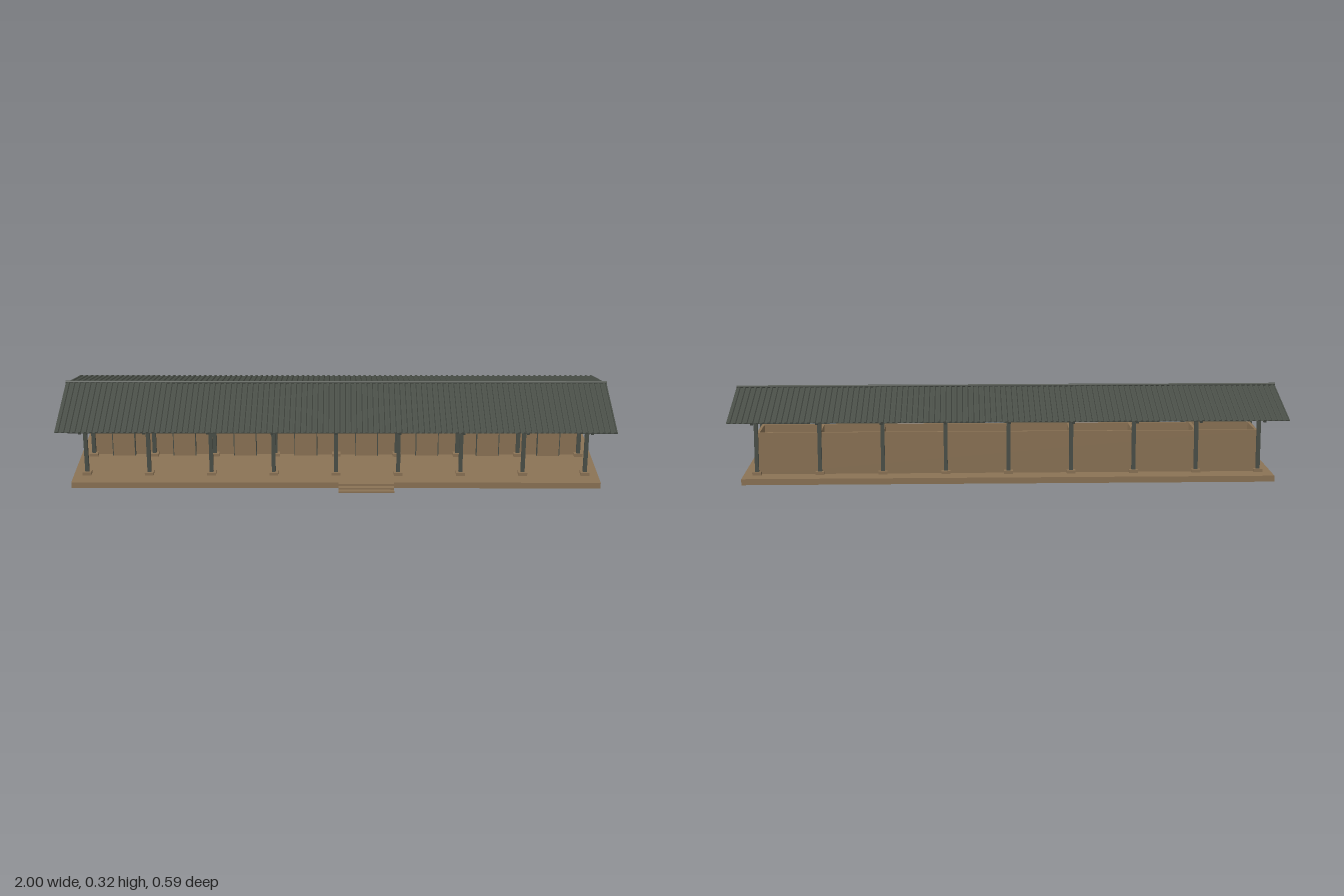
import * as THREE from 'three';

const clay = new THREE.MeshStandardMaterial({ color: 0x8b7355 });
clay.name = 'clay';
const steel = new THREE.MeshStandardMaterial({ color: 0x4a4f48 });
steel.name = 'dark steel';

const FLOOR = 0.022, SLOPE = 0.267, SLOPE_LENGTH = 0.304, RIDGE = 0.312;
const frameXs = Array.from({ length: 9 }, (_, i) => -0.91 + i * 0.2275);

// Box given by its lower and upper corner
function block(parent, name, mat, x0, x1, y0, y1, z0, z1) {
  const mesh = new THREE.Mesh(new THREE.BoxGeometry(x1 - x0, y1 - y0, z1 - z0), mat);
  mesh.position.set((x0 + x1) / 2, (y0 + y1) / 2, (z0 + z1) / 2);
  mesh.name = name;
  parent.add(mesh);
  return mesh;
}

function namedGroup(parent, name) {
  const g = new THREE.Group();
  g.name = name;
  parent.add(g);
  return g;
}

// Ribbed sheet cross-section, extruded down the slope
function ribbedSheet() {
  const pitch = 0.02, low = -0.0035, high = 0;
  const shape = new THREE.Shape();
  shape.moveTo(-1, -0.005);
  shape.lineTo(1, -0.005);
  shape.lineTo(1, low);
  for (let i = 99; i >= 0; i--) {
    const x = -1 + i * pitch;
    shape.lineTo(x + 0.016, low);
    shape.lineTo(x + 0.013, high);
    shape.lineTo(x + 0.007, high);
    shape.lineTo(x + 0.004, low);
  }
  shape.lineTo(-1, low);
  return new THREE.ExtrudeGeometry(shape, { depth: SLOPE_LENGTH, bevelEnabled: false });
}

export function createModel() {
  const model = new THREE.Group();
  model.name = 'longBuilding';

  // Platform and front steps
  block(model, 'platform', clay, -0.958, 0.958, 0, FLOOR, -0.253, 0.253);
  const steps = namedGroup(model, 'steps');
  [[0.267, FLOOR], [0.283, 0.0147], [0.297, 0.0073]].forEach(([z, y]) =>
    block(steps, 'step', clay, 0.01, 0.21, 0, y, 0.253, z));

  // Frames: footings, posts, ties and rafters
  const frames = namedGroup(model, 'frames');
  for (const x of frameXs) {
    for (const z of [0.176, 0, -0.177]) {
      block(frames, 'footing', clay, x - 0.016, x + 0.016, FLOOR, 0.033, z - 0.016, z + 0.016);
      const top = z === 0 ? 0.305 : 0.257;
      block(frames, 'post', steel, x - 0.007, x + 0.007, 0.033, top, z - 0.007, z + 0.007);
    }
    block(frames, 'tieBeam', steel, x - 0.005, x + 0.005, 0.217, 0.229, -0.172, 0.172);
  }
  for (const z of [0.176, -0.177])
    block(frames, 'longBeam', steel, -0.91, 0.91, 0.217, 0.229, z - 0.005, z + 0.005);

  // Rooms: long walls and partitions
  const rooms = namedGroup(model, 'rooms');
  block(rooms, 'frontWall', clay, -0.908, 0.908, FLOOR, 0.175, -0.017, -0.007);
  block(rooms, 'backWall', clay, -0.908, 0.908, FLOOR, 0.175, -0.173, -0.163);
  for (const x of frameXs) {
    const c = Math.sign(x) * Math.min(Math.abs(x), 0.903);
    block(rooms, 'crossWall', clay, c - 0.005, c + 0.005, FLOOR, 0.175, -0.163, -0.017);
  }

  // One door per bay, with a slim frame
  const doors = namedGroup(model, 'doors');
  for (let i = 0; i < 8; i++) {
    const c = (frameXs[i] + frameXs[i + 1]) / 2;
    block(doors, 'door', clay, c - 0.04, c + 0.04, FLOOR, 0.143, -0.007, 0.006);
    for (const s of [-1, 1]) {
      const x = c + s * 0.0415;
      block(doors, 'doorJamb', steel, x - 0.0015, x + 0.0015, FLOOR, 0.146, -0.007, 0.007);
    }
    block(doors, 'doorHead', steel, c - 0.04, c + 0.04, 0.143, 0.146, -0.007, 0.007);
  }

  // Two roof slopes with rafters beneath, mirrored about the ridge
  const sheet = ribbedSheet();
  for (const name of ['frontRoof', 'backRoof']) {
    const side = namedGroup(model, name);
    side.rotation.y = name === 'frontRoof' ? 0 : Math.PI;
    const slope = namedGroup(side, 'slope');
    slope.position.y = RIDGE + 0.003;
    slope.rotation.x = SLOPE;
    const roofSheet = new THREE.Mesh(sheet, steel);
    roofSheet.name = 'roofSheet';
    slope.add(roofSheet);
    for (const x of frameXs)
      block(slope, 'rafter', steel, x - 0.005, x + 0.005, -0.011, -0.005, 0, SLOPE_LENGTH);
  }

  // Ridge cap
  const cap = new THREE.Mesh(new THREE.CylinderGeometry(0.005, 0.005, 2, 8), steel);
  cap.name = 'ridgeCap';
  cap.rotation.z = Math.PI / 2;
  cap.position.y = 0.315;
  model.add(cap);

  return model;
}
